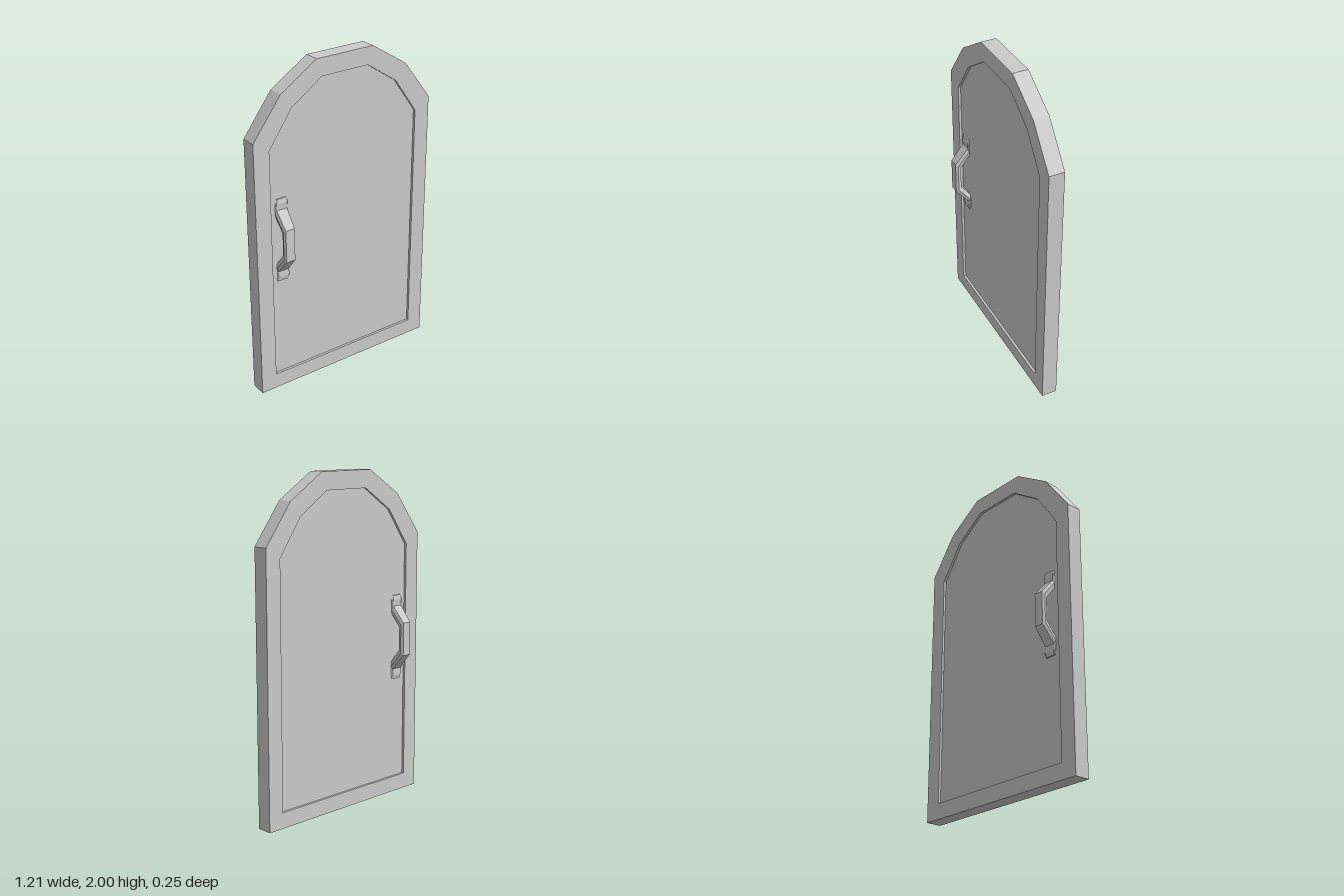
import * as THREE from 'three';

const mat = new THREE.MeshStandardMaterial({ color: 0xcccccc, flatShading: true });

// Mirrored arch outline from its right-hand points, bottom to top
function archPoints(half) {
  const left = half.map(([x, y]) => [-x, y]).reverse();
  return [...half, ...left].map(([x, y]) => new THREE.Vector2(x, y));
}

function slab(shape, depth, name) {
  const geo = new THREE.ExtrudeGeometry(shape, { depth, bevelEnabled: false });
  geo.translate(0, 0, -depth / 2);
  const mesh = new THREE.Mesh(geo, mat);
  mesh.name = name;
  return mesh;
}

// Handle stations, top to bottom: outer z, outer y, inner z, inner y, half width
const STATIONS = [
  [0.040, 1.24, 0.030, 1.24, 0.036],
  [0.046, 1.215, 0.030, 1.215, 0.042],
  [0.044, 1.175, 0.030, 1.13, 0.042],
  [0.125, 1.08, 0.090, 1.05, 0.037],
  [0.125, 0.88, 0.090, 0.91, 0.037],
  [0.044, 0.785, 0.030, 0.83, 0.042],
  [0.046, 0.745, 0.030, 0.745, 0.042],
  [0.040, 0.72, 0.030, 0.72, 0.036],
];

// Six-sided cross-sections joined along the handle
function handleGeometry() {
  const pos = [], index = [];
  for (const [oz, oy, iz, iy, w] of STATIONS) {
    const mz = oz + (iz - oz) * 0.42, my = oy + (iy - oy) * 0.42;
    const n = w - 0.008;
    pos.push(-n, oy, oz, n, oy, oz, w, my, mz, n, iy, iz, -n, iy, iz, -w, my, mz);
  }
  for (let s = 0; s < STATIONS.length - 1; s++) {
    for (let k = 0; k < 6; k++) {
      const a = s * 6 + k, b = s * 6 + (k + 1) % 6;
      index.push(a, a + 6, b, b, a + 6, b + 6);
    }
  }
  const e = (STATIONS.length - 1) * 6;
  for (let k = 1; k < 5; k++) {
    index.push(0, k, k + 1);
    index.push(e, e + k + 1, e + k);
  }
  const geo = new THREE.BufferGeometry();
  geo.setAttribute('position', new THREE.Float32BufferAttribute(pos, 3));
  geo.setIndex(index);
  const flat = geo.toNonIndexed();
  flat.computeVertexNormals();
  return flat;
}

export function createModel() {
  const door = new THREE.Group();
  door.name = 'archedDoor';

  const outer = archPoints([[0.605, 0], [0.605, 1.61], [0.425, 1.85], [0.19, 2]]);
  const inner = archPoints([[0.505, 0.095], [0.505, 1.545], [0.355, 1.76], [0.155, 1.895]]);

  // Raised border around the recessed panel
  const frameShape = new THREE.Shape(outer);
  frameShape.holes.push(new THREE.Path(inner));
  door.add(slab(frameShape, 0.094, 'frame'));
  door.add(slab(new THREE.Shape(inner), 0.064, 'panel'));

  // One pull handle on each face, back to back
  const geo = handleGeometry();
  for (const [name, turn] of [['frontHandle', 0], ['backHandle', Math.PI]]) {
    const handle = new THREE.Mesh(geo, mat);
    handle.name = name;
    handle.position.x = -0.433;
    handle.rotation.y = turn;
    door.add(handle);
  }
  return door;
}
